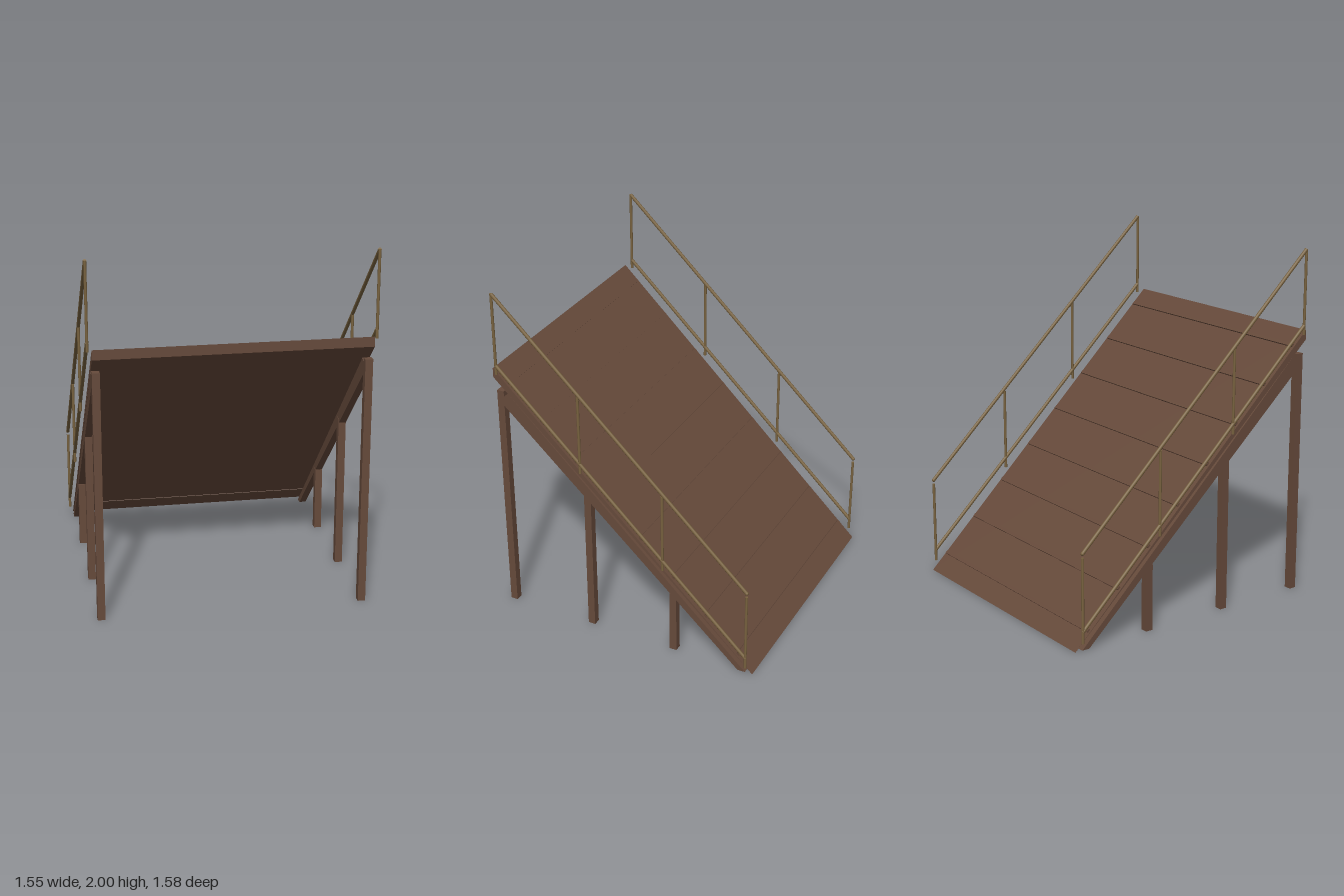
import * as THREE from 'three';

export function createModel() {
  const model = new THREE.Group();
  model.name = 'ramp';
  const wood = new THREE.MeshStandardMaterial({ color: 0x664a3b });
  wood.name = 'brown wood';
  const metal = new THREE.MeshStandardMaterial({ color: 0x78623f });
  metal.name = 'bronze rail';

  const slope = 1.53 / 1.58;
  const deckY = z => (z + 0.79) * slope;

  function add(name, geometry, material, x = 0, y = 0, z = 0) {
    const mesh = new THREE.Mesh(geometry, material);
    mesh.name = name;
    mesh.position.set(x, y, z);
    model.add(mesh);
    return mesh;
  }

  // Side profile given as [z, y], extruded across x and centred
  function profile(points, width) {
    const shape = new THREE.Shape(points.map(p => new THREE.Vector2(...p)));
    const geo = new THREE.ExtrudeGeometry(shape, { depth: width, bevelEnabled: false });
    return geo.translate(0, 0, -width / 2).rotateY(-Math.PI / 2);
  }

  // Round bar between two [y, z] points at one x
  function bar(name, x, [y1, z1], [y2, z2], radius) {
    const a = new THREE.Vector3(x, y1, z1);
    const b = new THREE.Vector3(x, y2, z2);
    const mesh = add(name, new THREE.CylinderGeometry(radius, radius, a.distanceTo(b), 10), metal);
    mesh.position.copy(a).lerp(b, 0.5);
    mesh.quaternion.setFromUnitVectors(new THREE.Vector3(0, 1, 0), b.sub(a).normalize());
  }

  // Tapered deck
  add('deck', profile([[-0.79, 0], [0.79, 1.475], [0.79, 1.53]], 1.49), wood);

  // Foot cleats across the deck
  for (let i = 0; i < 8; i++) {
    const z = -0.695 + i * 0.2;
    const cleat = add('cleat', new THREE.BoxGeometry(1.466, 0.016, 0.02), wood, 0, deckY(z) + 0.003, z);
    cleat.rotation.x = -Math.atan(slope);
  }

  for (const side of [-1, 1]) {
    // Stringer under each edge
    add('stringer', profile([[-0.745, 0], [-0.7, 0], [0.74, 1.32], [0.74, 1.36], [0.7, 1.39]], 0.04),
      wood, side * 0.725);

    // Support posts
    [[0.75, 1.4], [0.225, 0.89], [-0.3, 0.38]].forEach(([z, h]) =>
      add('supportPost', new THREE.BoxGeometry(0.042, h, 0.042), wood, side * 0.724, h / 2, z));

    // Railing
    const x = side * 0.765;
    bar('handrail', x, [1.99, 0.755], [0.553, -0.755], 0.01);
    bar('lowerRail', x, [1.563, 0.755], [0.115, -0.755], 0.01);
    for (const z of [0.755, 0.252, -0.248, -0.755])
      bar('railPost', x, [deckY(z) + 0.015, z], [deckY(z) + 0.495, z], 0.008);
    add('railEnd', new THREE.SphereGeometry(0.011, 10, 8), metal, x, 0.553, -0.755);
  }
  return model;
}
